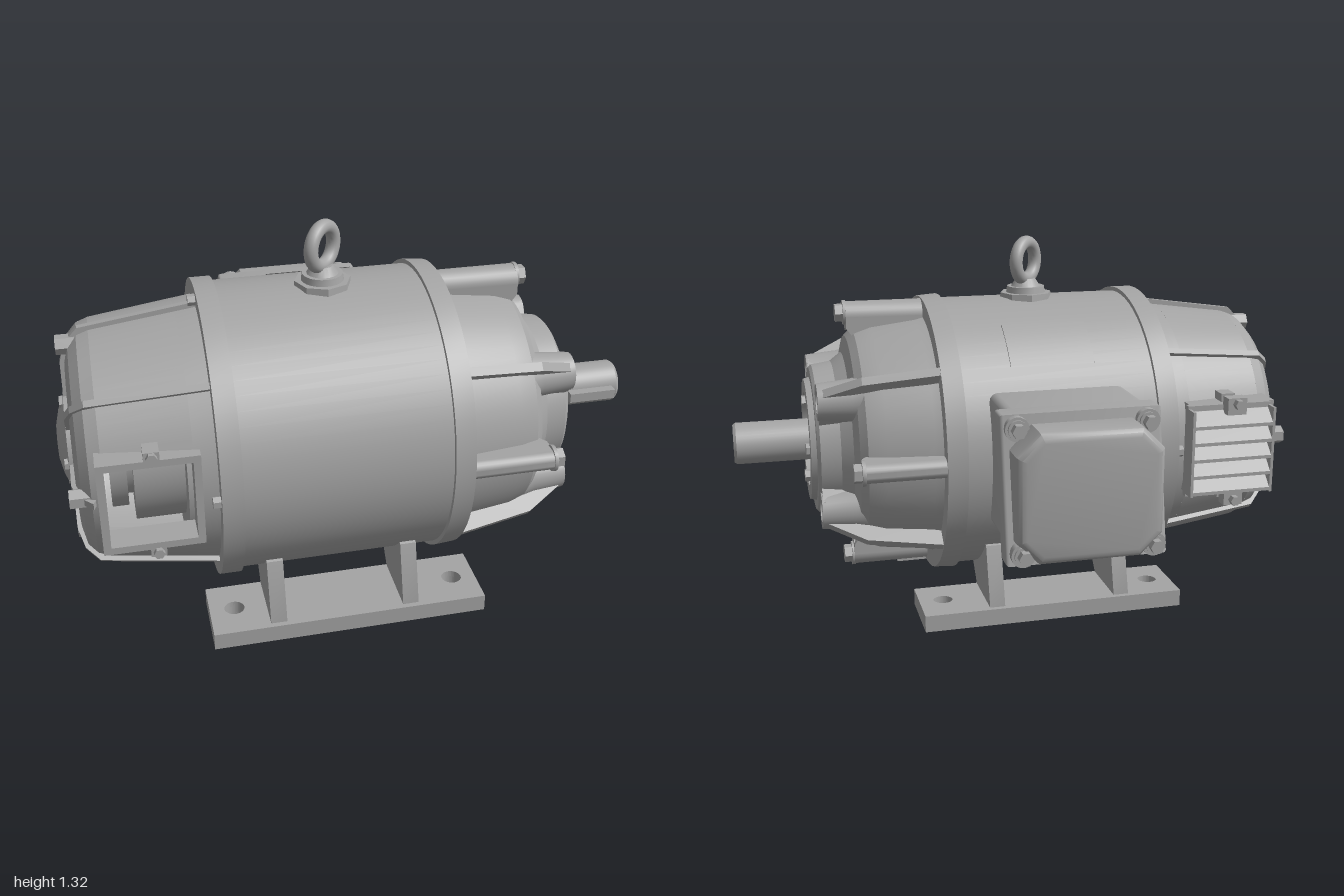
import * as THREE from 'three';
import { toCreasedNormals } from 'three/addons/utils/BufferGeometryUtils.js';

const steel = new THREE.MeshStandardMaterial({ color: 0xa4a4a4, side: THREE.DoubleSide });
steel.name = 'grey steel';

const AXIS_Y = 0.6, AXIS_Z = 0.178;

function add(parent, name, geo, x = 0, y = 0, z = 0) {
  const mesh = new THREE.Mesh(geo, steel);
  mesh.name = name;
  mesh.position.set(x, y, z);
  parent.add(mesh);
  return mesh;
}

// Turned part about the x axis; profile points are [x, radius] from back to front
function turned(profile, start = 0, sweep = Math.PI * 2, segs = 64) {
  const pts = profile.map(([x, r]) => new THREE.Vector2(r, x));
  const g = new THREE.LatheGeometry(pts, segs, start, sweep);
  g.rotateZ(-Math.PI / 2);
  return toCreasedNormals(g, 0.45);
}

// Cylinder along x between two positions
function rod(x0, x1, r, segs = 24, r2 = r) {
  const g = new THREE.CylinderGeometry(r2, r, x1 - x0, segs);
  g.rotateZ(-Math.PI / 2);
  g.translate((x0 + x1) / 2, 0, 0);
  return toCreasedNormals(g, 0.6);
}

const outline = pts => new THREE.Shape(pts.map(([a, b]) => new THREE.Vector2(a, b)));

// Plate from an [x, radius] outline, centred on z = 0
function plate(pts, t) {
  const g = new THREE.ExtrudeGeometry(outline(pts), { depth: t, bevelEnabled: false });
  return g.translate(0, 0, -t / 2);
}

// Slab from a [z, y] outline, spanning x0..x1
function slab(pts, x0, x1, bevel = 0) {
  const g = new THREE.ExtrudeGeometry(outline(pts.map(([z, y]) => [-z, y])), {
    depth: x1 - x0 - 2 * bevel, bevelEnabled: bevel > 0, bevelSize: bevel, bevelOffset: -bevel,
    bevelThickness: bevel, bevelSegments: 3 });
  g.rotateY(Math.PI / 2);
  g.translate(x0 + bevel, 0, 0);
  return toCreasedNormals(g, 0.6);
}

// Group turned about the shaft axis, so that its local y points outward
function spoke(parent, name, angle) {
  const g = new THREE.Group();
  g.name = name;
  g.rotation.x = angle;
  parent.add(g);
  return g;
}

function bolt(parent, x0, x1, r, y, z = 0) {
  add(parent, 'boltHead', rod(x0, x1, r, 6), 0, y, z);
  add(parent, 'washer', rod(x0 - 0.004, x0 + 0.008, r * 1.3, 16), 0, y, z);
}

function ringFrame(x0, x1, h, wall, depth) {
  const s = outline([[x0, -h], [x1, -h], [x1, h], [x0, h]]);
  s.holes.push(outline([[x0 + wall, -h + wall], [x0 + wall, h - wall], [x1 - wall, h - wall], [x1 - wall, -h + wall]]));
  return new THREE.ExtrudeGeometry(s, { depth, bevelEnabled: false });
}

function buildHousing(m) {
  add(m, 'drum', turned([[-0.45, 0.495], [0.25, 0.495]]));
  add(m, 'rearFlange', turned([[-0.51, 0.4], [-0.51, 0.51], [-0.44, 0.51], [-0.44, 0.49]]));
  add(m, 'frontFlange', turned([[0.24, 0.49], [0.24, 0.51], [0.31, 0.505], [0.31, 0.4]]));
  // Curved nameplate lying on the drum
  const a0 = Math.PI * 1.5 - 0.88;
  add(m, 'nameplate', turned([[-0.235, 0.49], [-0.235, 0.5], [0.065, 0.5], [0.065, 0.49]], a0, 0.37, 8));
}

function buildFrontBell(m) {
  add(m, 'frontBell', turned([[0.3, 0.445], [0.34, 0.435], [0.5, 0.415], [0.56, 0.395], [0.585, 0.37],
    [0.6, 0.31], [0.64, 0.28], [0.71, 0.27], [0.72, 0.26], [0.72, 0.225], [0.74, 0.22], [0.74, 0.17],
    [0.69, 0.165], [0.69, 0.1], [0.715, 0.096], [0.715, 0.07]]));
  // Corner bosses with ribs running back to the flange
  const corner = Math.atan2(0.243, 0.197);
  for (const a of [corner, -corner, Math.PI - corner, Math.PI + corner]) {
    const s = spoke(m, 'cornerBoss', a);
    add(s, 'rib', plate([[0.3, 0.4], [0.7, 0.28], [0.7, 0.375], [0.57, 0.455], [0.31, 0.5]], 0.03));
    add(s, 'boss', turned([[0.56, 0.085], [0.6, 0.075], [0.7, 0.066], [0.715, 0.064], [0.715, 0.04], [0.66, 0.038], [0.66, 0]], 0, Math.PI * 2, 28), 0, 0.312, 0);
    add(s, 'web', new THREE.BoxGeometry(0.12, 0.12, 0.13), 0.65, 0.26, 0);
  }
  // Clamping lugs, broad at top and bottom, slim at the sides
  for (let i = 0; i < 4; i++) {
    const s = spoke(m, 'lug', i * Math.PI / 2);
    const w = i % 2 ? 0.034 : 0.052;
    add(s, 'lugBody', rod(0.3, 0.585, w), 0, 0.5 - w, 0);
    add(s, 'lugWeb', plate([[0.3, 0.36], [0.55, 0.36], [0.585, 0.41], [0.585, 0.5 - w], [0.3, 0.5 - w]], w * 2));
    bolt(s, 0.585, 0.62, 0.034, 0.46);
    bolt(s, 0.69, 0.752, 0.023, 0.14);
    add(s, 'boreTab', new THREE.BoxGeometry(0.04, 0.05, 0.035), 0.715, 0.185, 0);
  }
  // Shaft and key
  add(m, 'shaft', turned([[0.6, 0.075], [0.99, 0.075], [1, 0.068], [1, 0]], 0, Math.PI * 2, 40));
  const key = new THREE.Group();
  key.name = 'shaftKey';
  m.add(key);
  add(key, 'keyBar', new THREE.BoxGeometry(0.17, 0.034, 0.05), 0.885, 0, 0.08);
}

function buildRearBell(m) {
  const r = x => 0.455 + (x + 0.51) * 0.135;
  const half = 0.36;
  add(m, 'rearBellEnd', turned([[-0.945, 0.1], [-0.945, 0.3], [-0.93, 0.36], [-0.9, 0.393], [-0.86, r(-0.86)]]));
  add(m, 'rearBellRim', turned([[-0.58, r(-0.58)], [-0.5, r(-0.5)]]));
  for (const start of [half, Math.PI + half])
    add(m, 'rearBellWall', turned([[-0.86, r(-0.86)], [-0.58, r(-0.58)]], start, Math.PI - 2 * half, 28));
  // Ribs along the wall and across the end; the side ribs stop at the windows
  for (let i = 0; i < 8; i++) {
    const s = spoke(m, 'rearRib', i * Math.PI / 4);
    const end = [[-0.93, 0.15], [-0.962, 0.15], [-0.96, 0.3], [-0.94, 0.37], [-0.895, 0.418]];
    add(s, 'rib', plate(i % 4 === 2 ? [...end, [-0.88, 0.38]] : [...end, [-0.51, 0.472], [-0.51, 0.43], [-0.88, 0.38]], 0.022));
    if (i % 2 === 0) {
      add(s, 'endBolt', rod(-0.968, -0.9, 0.033, 6), 0, 0.36, 0);
      add(s, 'capBolt', rod(-0.978, -0.94, 0.02, 6), 0, 0.15, 0);
      add(s, 'flangeBolt', rod(-0.535, -0.5, 0.02, 6), 0, 0.475, 0);
    }
  }
  add(m, 'bearingCap', turned([[-1, 0], [-0.997, 0.06], [-0.985, 0.11], [-0.968, 0.15], [-0.963, 0.175], [-0.94, 0.178]]));
  // Commutator seen through the window
  add(m, 'commutator', turned([[-0.93, 0.1], [-0.84, 0.12], [-0.84, 0.24], [-0.785, 0.24], [-0.785, 0.2],
    [-0.765, 0.2], [-0.765, 0.29], [-0.6, 0.29], [-0.6, 0.38], [-0.52, 0.38]]));
  // Window frames on both sides
  for (const side of [1, -1]) {
    const f = new THREE.Group();
    f.name = side > 0 ? 'openWindow' : 'louvredWindow';
    m.add(f);
    add(f, 'windowFrame', ringFrame(-0.88, -0.56, 0.163, 0.024, 0.1), 0, 0, side > 0 ? 0.352 : -0.468);
    for (const v of [1, -1]) {
      add(f, 'tab', new THREE.BoxGeometry(0.05, 0.04, 0.06), -0.71, v * 0.172, side * 0.422);
      const b = add(f, 'tabBolt', rod(0, 0.025, 0.018, 6), -0.71, v * 0.175, side * (side > 0 ? 0.442 : 0.535));
      b.rotation.y = -side * Math.PI / 2;
    }
  }
  // Louvred cover on the back window
  const cover = new THREE.Group();
  cover.name = 'louvreCover';
  m.add(cover);
  add(cover, 'backPlate', new THREE.BoxGeometry(0.31, 0.33, 0.025), -0.7, 0, -0.48);
  for (const x of [-0.85, -0.55]) add(cover, 'sideStrip', new THREE.BoxGeometry(0.01, 0.31, 0.06), x, 0, -0.51);
  for (const v of [1, -1]) add(cover, 'coverTab', new THREE.BoxGeometry(0.07, 0.06, 0.045), -0.71, v * 0.165, -0.512);
  for (let i = 0; i < 5; i++) {
    const y = -0.15 + i * 0.06;
    add(cover, 'slat', slab([[-0.48, y + 0.056], [-0.495, y + 0.056], [-0.54, y + 0.012], [-0.54, y], [-0.48, y]], -0.85, -0.55));
  }
}

function buildTerminalBox(group) {
  const box = new THREE.Group();
  box.name = 'terminalBox';
  group.add(box);
  add(box, 'neck', slab([[-0.15, 0.84], [-0.5, 0.84], [-0.6, 0.38], [-0.15, 0.38]], -0.33, 0.155, 0.03));
  add(box, 'slantedFlange', slab([[-0.475, 0.843], [-0.55, 0.843], [-0.642, 0.37], [-0.567, 0.37]], -0.352, 0.188, 0.012));
  // Lid with cut corners that clear the bolts
  const [x0, x1, y0, y1, c] = [-0.325, 0.16, 0.378, 0.81, 0.075];
  const lid = new THREE.ExtrudeGeometry(outline([[x0 + c, y0], [x1 - c, y0], [x1, y0 + c], [x1, y1 - c],
    [x1 - c, y1], [x0 + c, y1], [x0, y1 - c], [x0, y0 + c]]),
  { depth: 0.12, bevelSize: 0.03, bevelOffset: -0.03, bevelThickness: 0.03, bevelSegments: 3 });
  add(box, 'lid', toCreasedNormals(lid, 0.6), 0, 0, -0.655);
  add(box, 'conduitBoss', rod(-0.355, -0.32, 0.08), 0, 0.6, -0.43);
  for (const x of [-0.3, 0.135]) for (const [y, z] of [[0.8, -0.535], [0.41, -0.62]]) {
    const b = new THREE.Group();
    b.name = 'lidBolt';
    b.position.set(x, y, z);
    b.rotation.y = Math.PI / 2;
    box.add(b);
    add(b, 'boltSeat', rod(0, 0.04, 0.04));
    bolt(b, 0.04, 0.075, 0.024, 0);
  }
}

function buildFeet(group) {
  for (const side of [1, -1]) {
    const foot = new THREE.Group();
    foot.name = side > 0 ? 'frontFoot' : 'rearFoot';
    group.add(foot);
    const s = outline([[-0.555, -0.123], [0.39, -0.123], [0.39, 0.123], [-0.555, 0.123]]);
    for (const x of [-0.47, 0.305]) {
      s.holes.push(new THREE.Path().absarc(x, 0, 0.035, 0, Math.PI * 2, true));
      const rim = add(foot, 'holeRim', new THREE.RingGeometry(0.035, 0.06, 24), x, 0.064, AXIS_Z + side * 0.335);
      rim.rotation.x = -Math.PI / 2;
    }
    const pad = new THREE.ExtrudeGeometry(s, { depth: 0.06, bevelEnabled: false, curveSegments: 20 });
    pad.rotateX(-Math.PI / 2);
    add(foot, 'pad', pad, 0, 0, AXIS_Z + side * 0.335);
    // Tapered legs rising to meet the drum
    const leg = [[0.44, 0.05], [0.44, 0.06], [0.38, 0.27], [0.3, 0.3], [0.14, 0.14], [0.17, 0.11], [0.215, 0.06], [0.215, 0.05]];
    for (const x of [-0.36, 0.1])
      add(foot, 'leg', slab(leg.map(([z, y]) => [AXIS_Z + side * z, y]), x, x + 0.055));
  }
}

function buildEyebolt(group) {
  const eye = new THREE.Group();
  eye.name = 'liftingEye';
  eye.position.set(-0.085, 0, AXIS_Z);
  group.add(eye);
  const disc = (r0, r1, h, n) => toCreasedNormals(new THREE.CylinderGeometry(r1, r0, h, n), 0.6);
  add(eye, 'seat', disc(0.1, 0.095, 0.06, 8), 0, 1.08, 0);
  add(eye, 'collar', disc(0.072, 0.068, 0.025, 24), 0, 1.12, 0);
  add(eye, 'neck', disc(0.055, 0.035, 0.03, 24), 0, 1.145, 0);
  add(eye, 'ring', new THREE.TorusGeometry(0.067, 0.024, 16, 40), 0, 1.224, 0).rotation.y = Math.PI / 4;
}

export function createModel() {
  const group = new THREE.Group();
  group.name = 'electricMotor';
  const motor = new THREE.Group();
  motor.name = 'motorBody';
  motor.position.set(0, AXIS_Y, AXIS_Z);
  group.add(motor);
  buildHousing(motor);
  buildFrontBell(motor);
  buildRearBell(motor);
  buildTerminalBox(group);
  buildFeet(group);
  buildEyebolt(group);
  return group;
}
